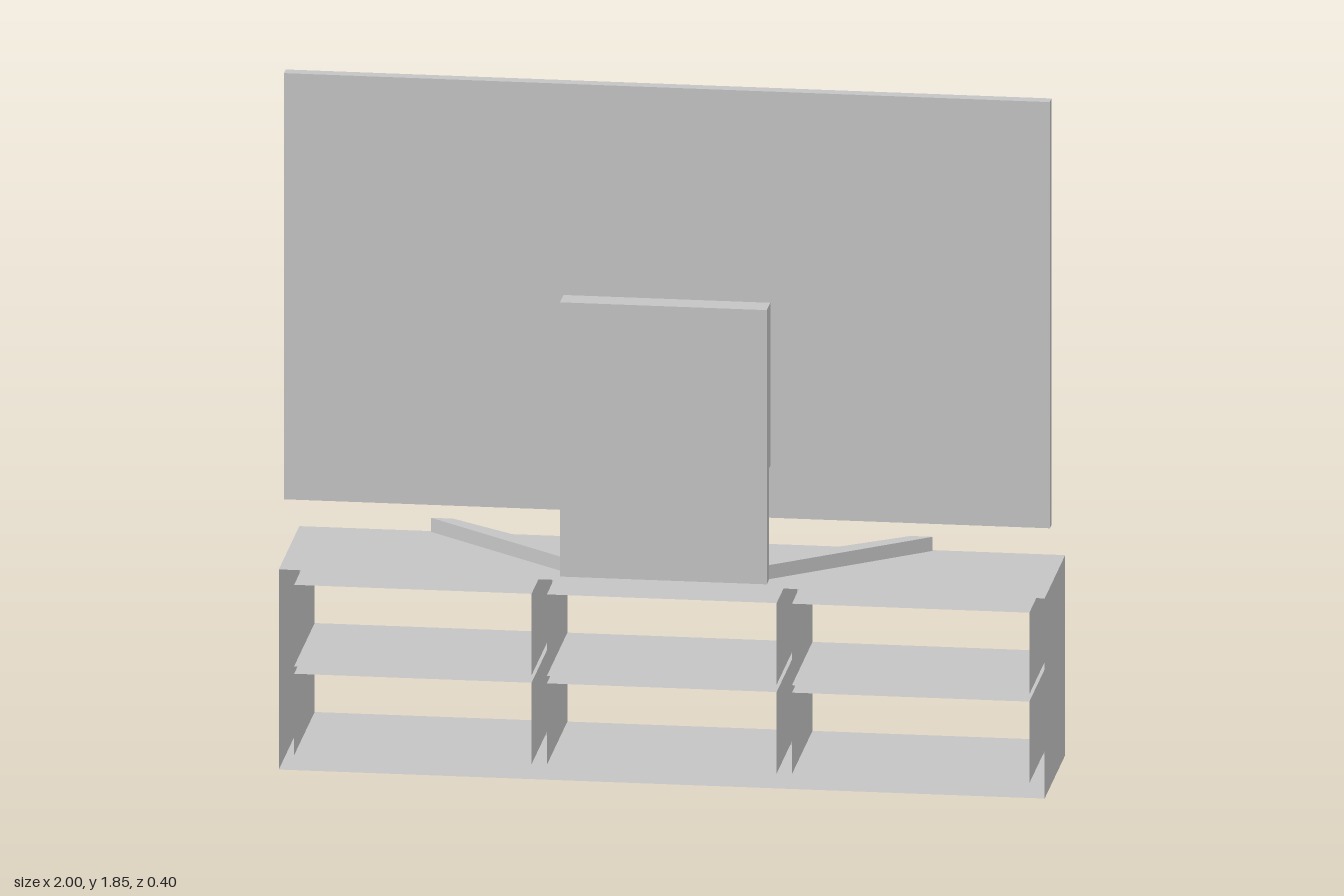
import * as THREE from 'three';

const grey = new THREE.MeshStandardMaterial({ color: 0xc4c4c4, side: THREE.DoubleSide });
grey.name = 'light grey';

function shapeFrom(points) {
  return new THREE.Shape(points.map(([x, y]) => new THREE.Vector2(x, y)));
}

function rect(x0, x1, y0, y1) {
  return [[x0, y0], [x1, y0], [x1, y1], [x0, y1]];
}

function extrude(shape, depth) {
  return new THREE.ExtrudeGeometry(shape, { depth, bevelEnabled: false });
}

function addPart(group, name, geometry) {
  const mesh = new THREE.Mesh(geometry, grey);
  mesh.name = name;
  group.add(mesh);
  return mesh;
}

// Hollow cabinet shell: six through openings, back rim closed, front rim open
function cabinetGeometry() {
  const shape = shapeFrom(rect(-1, 1, 0, 0.54));
  for (const [x0, x1] of [[-0.96, -0.34], [-0.3, 0.3], [0.34, 0.96]]) {
    for (const [y0, y1] of [[0.04, 0.26], [0.28, 0.5]]) {
      shape.holes.push(shapeFrom(rect(x0, x1, y0, y1)));
    }
  }
  const geometry = extrude(shape, 0.4).translate(0, 0, -0.2);
  // Keep the back cap and the walls, skip the front cap
  const capCount = geometry.groups[0].count;
  const total = geometry.attributes.position.count;
  const index = [];
  for (let i = 0; i < total; i++) {
    if (i < capCount / 2 || i >= capCount) index.push(i);
  }
  geometry.setIndex(index);
  geometry.clearGroups();
  return geometry;
}

export function createModel() {
  const model = new THREE.Group();
  model.name = 'televisionOnCabinet';

  addPart(model, 'cabinet', cabinetGeometry());

  // Flat screen panel
  addPart(model, 'screen', new THREE.BoxGeometry(2, 1.15, 0.034).translate(0, 1.275, 0.083));

  // Stand post, thicker where it meets the screen (profile in z, y)
  const profile = [[0.168, 0.54], [0.168, 1.28], [0.1, 1.28], [0.1, 0.84], [0.124, 0.84], [0.124, 0.54]];
  addPart(model, 'standPost',
    extrude(shapeFrom(profile), 0.54).rotateY(-Math.PI / 2).translate(0.27, 0, 0));

  // Splayed tapering feet (outline in x, -z)
  for (const side of [-1, 1]) {
    const outline = [[0.265, -0.124], [0.655, 0.193], [0.597, 0.193], [0.15, -0.124]]
      .map(([x, y]) => [x * side, y]);
    addPart(model, side > 0 ? 'leftFoot' : 'rightFoot',
      extrude(shapeFrom(outline), 0.038).rotateX(-Math.PI / 2).translate(0, 0.54, 0));
  }

  return model;
}
